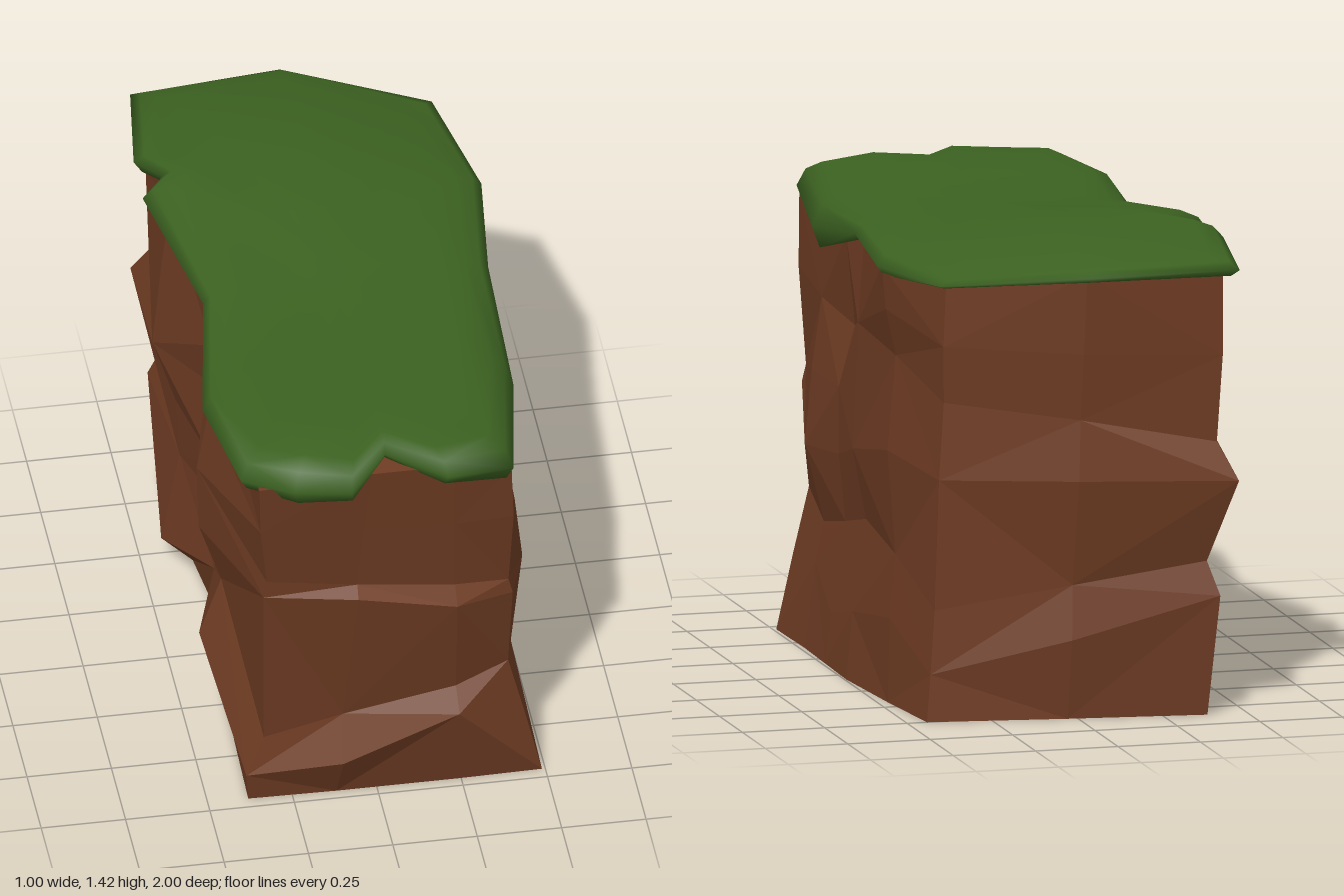
import * as THREE from 'three';

const soil = new THREE.MeshStandardMaterial({ color: 0x703d24, flatShading: true });
soil.name = 'soil brown';
const turf = new THREE.MeshStandardMaterial({ color: 0x3c6221 });
turf.name = 'turf green';

// Skin a stack of closed rings of [x, y, z] points, with both ends closed
function loft(rings) {
  const n = rings[0].length, points = rings.flat(), index = [];
  const mean = ring => [0, 1, 2].map(k => ring.reduce((sum, p) => sum + p[k], 0) / n);
  const last = (rings.length - 1) * n, bottom = points.length, top = bottom + 1;
  points.push(mean(rings[0]), mean(rings[rings.length - 1]));
  for (let i = 0; i < n; i++) {
    const j = (i + 1) % n;
    for (let r = 0; r < rings.length - 1; r++) {
      const a = r * n + i, b = r * n + j, c = b + n, d = a + n;
      if ((i + r) % 2) index.push(a, b, c, a, c, d);
      else index.push(a, b, d, b, c, d);
    }
    index.push(bottom, j, i, top, last + i, last + j);
  }
  const geometry = new THREE.BufferGeometry();
  geometry.setAttribute('position', new THREE.Float32BufferAttribute(points.flat(), 3));
  geometry.setIndex(index);
  return geometry;
}

function makeRock() {
  // Foot and crown outlines [x, z]: front, right side, back, left side
  const foot = [
    [-0.38, 0.71], [-0.12, 0.715], [0.24, 0.715], [0.49, 0.71], [0.485, 0.42], [0.49, 0.18], [0.495, -0.07],
    [0.47, -0.43], [0.44, -0.75], [0.03, -0.81], [-0.38, -0.86], [-0.35, -0.45], [-0.31, -0.08], [-0.37, 0.25]];
  const crown = [
    [-0.38, 0.91], [-0.05, 0.91], [0.2, 0.91], [0.37, 0.89], [0.4, 0.5], [0.42, 0.2], [0.42, 0],
    [0.485, -0.42], [0.39, -0.78], [0, -0.92], [-0.41, -0.92], [-0.42, -0.43], [-0.37, 0], [-0.4, 0.2]];
  const crownY = [1.28, 1.3, 1.3, 1.26, 1.24, 1.27, 1.3, 1.3, 1.31, 1.34, 1.34, 1.34, 1.33, 1.31];
  // Rock strata: height of each point and how far it bulges outward, in hundredths
  const strata = [
    { y: [10, 16, 30, 22, 25, 15, 20, 25, 14, 24, 36, 10, 26, 26],
      out: [1, 6, 4, -4, -2, -1, -1, -1, -1, 2, 3, 9, 3, 7] },
    { y: [23, 30, 37, 42, 37, 42, 47, 44, 33, 40, 46, 40, 50, 45],
      out: [-5, -2, -2, -8, -4, -4, -4, -3, -2, -2, -2, 2, 0, 0] },
    { y: [82, 80, 73, 72, 60, 62, 68, 75, 72, 72, 71, 60, 65, 64],
      out: [-3, 2, 2, -4, 3, -1, 1, -1, -1, 2, 8, 2, 1, 6] },
    { y: [88, 83, 79, 77, 82, 82, 82, 103, 95, 90, 82, 83, 95, 85],
      out: [-4, -2, -2, -5, 2, 0, 1, -4, -2, -1, 0, 8, -1, 6] },
    { y: [110, 108, 105, 105, 103, 100, 105, 117, 112, 110, 108, 110, 112, 105],
      out: [-1, -1, -1, -1, 0, -4, 1, -1, 0, 0, 1, 4, 1, 2] },
  ];
  const n = foot.length;
  const rings = [foot.map(([x, z]) => [x, 0, z])];
  for (const { y, out } of strata) {
    rings.push(foot.map(([x, z], i) => {
      const before = foot[(i + n - 1) % n], after = foot[(i + 1) % n];
      const outward = new THREE.Vector2(before[1] - after[1], after[0] - before[0]).normalize();
      const h = y[i] / 100, t = h / crownY[i], push = out[i] / 100;
      return [
        THREE.MathUtils.lerp(x, crown[i][0], t) + outward.x * push,
        h,
        THREE.MathUtils.lerp(z, crown[i][1], t) + outward.y * push];
    }));
  }
  rings.push(crown.map(([x, z], i) => [x, crownY[i], z]));
  const geometry = loft(rings).toNonIndexed();
  geometry.computeVertexNormals();
  return geometry;
}

function makeGrass() {
  // Rim of the turf: [x, z, height of the hanging lower edge]
  const rim = [
    [-0.43, 0.88, 1.26], [-0.28, 0.94, 1.23], [-0.12, 0.995, 1.26], [0, 0.865, 1.31], [0.17, 0.97, 1.27],
    [0.37, 0.92, 1.23], [0.445, 0.48, 1.18], [0.45, 0, 1.295], [0.5, -0.42, 1.27], [0.42, -0.82, 1.3],
    [0, -1, 1.33], [-0.45, -0.96, 1.32], [-0.5, -0.6, 1.34], [-0.43, -0.51, 1.35], [-0.5, -0.44, 1.32],
    [-0.405, 0.06, 1.315], [-0.485, 0.53, 1.27]];
  // A low mound at the back left, easing off to the right and at the rear edge, with a slight front lip
  const { smoothstep } = THREE.MathUtils;
  const topY = (x, z) => {
    const mound = 0.058 * smoothstep(-z, -0.15, 0.45) * (1 - 0.85 * smoothstep(x, -0.05, 0.32));
    const rear = 0.045 * smoothstep(-z, 0.55, 1);
    const lip = 0.012 * smoothstep(z, 0.3, 0.8);
    return 1.362 + mound + lip - rear - 0.08 * Math.max(x, 0) ** 2;
  };
  const ring = (inset, height) => rim.map(([x, z, low]) => [
    x * (1 - inset / 0.45), low + (topY(x, z) - low) * height, z * (1 - inset / 0.95)]);
  const surface = (sx, sz) => rim.map(([x, z]) => [x * sx, topY(x * sx, z * sz), z * sz]);
  const geometry = loft([
    ring(0.1, 0.2), ring(0.02, 0), ring(0, 0.35), ring(0.025, 0.75), ring(0.07, 0.95),
    surface(0.68, 0.78), surface(0.45, 0.52), surface(0.2, 0.25)]);
  geometry.computeVertexNormals();
  return geometry;
}

export function createModel() {
  const model = new THREE.Group();
  model.name = 'grassyCliff';
  const rock = new THREE.Mesh(makeRock(), soil);
  rock.name = 'rockBody';
  const grass = new THREE.Mesh(makeGrass(), turf);
  grass.name = 'grassCap';
  model.add(rock, grass);
  return model;
}
